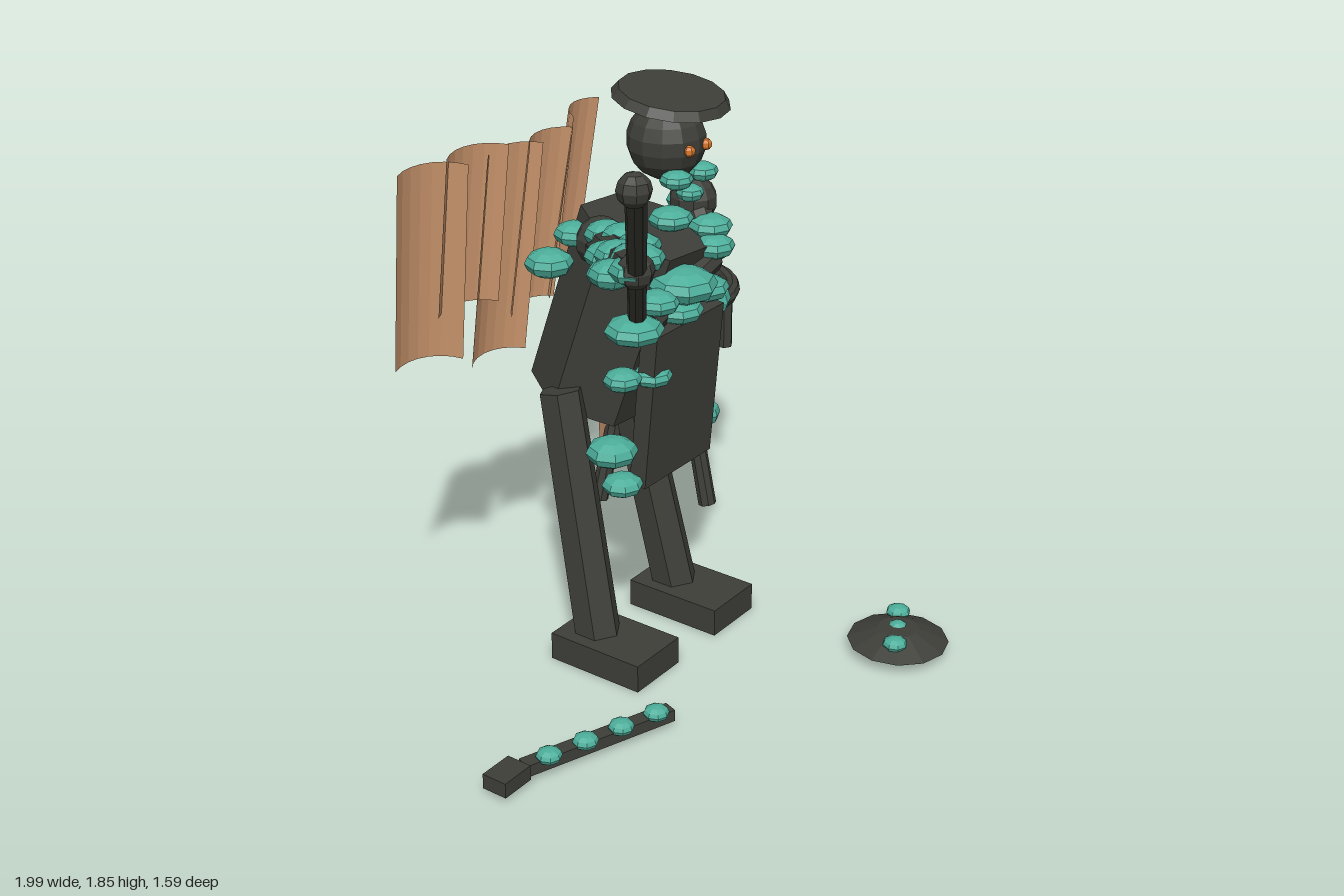
import * as THREE from 'three';

const mat = (name, color, extra = {}) => {
  const m = new THREE.MeshStandardMaterial({ color, flatShading: true, ...extra });
  m.name = name;
  return m;
};

export function createModel() {
  const model = new THREE.Group();
  model.name = 'emberKeeper';
  const iron = mat('darkIron', 0x3e3e39);
  const teal = mat('verdigris', 0x4cae9a);
  const ember = mat('ember', 0xdb7a2c);
  const hide = mat('tanHide', 0xd09a70, { side: THREE.DoubleSide });

  const add = (name, geo, material, pos = [0, 0, 0], rot = [0, 0, 0]) => {
    const m = new THREE.Mesh(geo, material);
    m.name = name;
    m.position.set(...pos);
    m.rotation.set(rot[0], rot[1], rot[2], 'YXZ');
    model.add(m);
    return m;
  };
  // Prism running between two points
  const rod = (name, a, b, rTop, rBottom = rTop, sides = 8) => {
    const from = new THREE.Vector3(...a), to = new THREE.Vector3(...b);
    const dir = to.clone().sub(from);
    const m = add(name, new THREE.CylinderGeometry(rTop, rBottom, dir.length(), sides), iron);
    m.position.copy(from).addScaledVector(dir, 0.5);
    m.quaternion.setFromUnitVectors(new THREE.Vector3(0, 1, 0), dir.normalize());
    return m;
  };
  const ball = (name, pos, r, material, w = 10, h = 7) =>
    add(name, new THREE.SphereGeometry(r, w, h), material, pos);
  const patch = (x, y, z, r, ry = r * 0.5) => {
    const m = ball('patinaPatch', [x, y, z], 1, teal, 8, 6);
    m.scale.set(r, ry, r);
    return m;
  };

  // Feet and legs
  for (const [foot, hip] of [[-0.21, -0.165], [0.175, 0.135]]) {
    add('foot', new THREE.BoxGeometry(0.2, 0.085, 0.315), iron, [foot, 0.0425, 0.007]);
    rod('leg', [foot, 0.07, -0.055], [hip, 0.8, -0.215], 0.065, 0.07, 6);
  }

  // Six-sided torso leaning forward
  const torso = rod('torso', [0.02, 0.72, -0.25], [0.065, 1.26, -0.085], 0.19, 0.185, 6);
  torso.rotateY(Math.PI / 6);
  add('apronPlate', new THREE.BoxGeometry(0.322, 0.48, 0.055), iron, [0.014, 0.8, 0.065], [0.09, 0, 0]);

  // Head, eyes and flat hat
  ball('head', [0.078, 1.525, -0.02], 0.113, iron, 12, 9);
  for (const x of [0.04, 0.12]) ball('eye', [x, 1.52, 0.085], 0.017, ember, 6, 5);
  add('hat', new THREE.CylinderGeometry(0.15, 0.168, 0.025, 14), iron, [0.08, 1.655, -0.005], [0.15, 0, 0]);

  // Shoulders and arms
  ball('shoulder', [-0.15, 1.28, -0.075], 0.072, iron);
  ball('shoulder', [0.28, 1.28, -0.07], 0.072, iron);
  rod('upperArm', [-0.15, 1.28, -0.075], [-0.33, 1.335, 0.12], 0.05);
  rod('forearm', [-0.33, 1.335, 0.12], [-0.5, 1.395, 0.3], 0.045);
  ball('hand', [-0.5, 1.395, 0.305], 0.05, iron, 8, 6);
  rod('upperArm', [0.28, 1.28, -0.07], [0.2, 1.15, 0.05], 0.045);
  rod('forearm', [0.2, 1.15, 0.05], [-0.12, 1.06, 0.06], 0.04);

  // Long stirring pole with end ball and blade
  rod('pole', [-0.96, 1.81, 0.65], [0.68, 0.33, -0.57], 0.026);
  ball('poleKnob', [-0.96, 1.81, 0.645], 0.042, iron, 8, 6);
  add('poleBlade', new THREE.BoxGeometry(0.235, 0.185, 0.035), hide, [0.695, 0.25, -0.635], [0.16, 0, 0.25]);

  // Hide cloak: overlapping curved strips [x, z, top, bottom, yaw]
  const strips = [
    [-0.5, -0.4, 1.545, 0.94, -0.45],
    [-0.375, -0.36, 1.565, 1.08, -0.25],
    [-0.24, -0.36, 1.535, 0.88, -0.15],
    [-0.1, -0.35, 1.535, 1.0, 0.05],
    [0.08, -0.38, 1.565, 1.0, 0.3],
  ];
  for (const [x, z, top, bottom, yaw] of strips) {
    const geo = new THREE.CylinderGeometry(0.135, 0.135, top - bottom, 7, 1, true, Math.PI - 0.85, 1.7);
    geo.translate(0, 0, 0.115);
    add('cloakStrip', geo, hide, [x, (top + bottom) / 2, z], [0.15, yaw, 0]);
  }

  // Patina along the raised arm
  const arm = new THREE.CatmullRomCurve3([
    new THREE.Vector3(-0.14, 1.29, -0.03),
    new THREE.Vector3(-0.33, 1.345, 0.14),
    new THREE.Vector3(-0.49, 1.385, 0.27),
  ]);
  for (let i = 0; i < 16; i++) {
    const p = arm.getPoint(i / 15), a = i * 2.4;
    patch(p.x + 0.045 * Math.cos(a), p.y + 0.02 * Math.sin(a * 1.7), p.z + 0.045 * Math.sin(a), 0.062, 0.037);
  }

  // Patina on body: [x, y, z, radius, half height]
  [
    [0.015, 1.44, 0.06, 0.048, 0.027], [0.155, 1.425, 0.05, 0.045, 0.027], [0.08, 1.385, 0.06, 0.04, 0.025],
    [0.045, 1.31, 0.02, 0.065, 0.033], [0.24, 1.23, 0.02, 0.065, 0.035], [0.32, 1.26, -0.12, 0.062, 0.037],
    [0.2, 1.19, 0.06, 0.062, 0.035], [0.01, 1.14, 0.09, 0.098, 0.05], [-0.18, 1.06, 0.06, 0.085, 0.04],
    [-0.01, 1.07, 0.09, 0.07, 0.035], [0.13, 1.09, 0.08, 0.07, 0.037], [-0.1, 1.12, 0.08, 0.065, 0.035],
    [0.23, 1.01, 0.03, 0.06, 0.047], [0.185, 0.9, -0.215, 0.05, 0.033], [0.2, 1.05, -0.245, 0.025, 0.02],
    [-0.235, 0.93, 0.06, 0.055, 0.032], [-0.11, 0.9, 0.07, 0.058, 0.03], [-0.22, 0.69, 0.01, 0.075, 0.042],
    [0.22, 0.645, 0.01, 0.055, 0.042], [-0.185, 0.575, 0.02, 0.06, 0.033],
    [-0.2, 1.2, -0.22, 0.07, 0.04], [-0.06, 1.24, -0.24, 0.06, 0.035],
  ].forEach((p) => patch(...p));

  // Fire basket: ring, hanging bars, tripod and coals
  const bx = 0.72, bz = -0.522;
  add('basketRing', new THREE.TorusGeometry(0.248, 0.024, 8, 24), iron, [bx, 0.757, bz], [Math.PI / 2, 0, 0]);
  for (let i = 0; i < 10; i++) {
    const a = (i / 10) * Math.PI * 2;
    const x = bx + 0.232 * Math.cos(a), z = bz + 0.232 * Math.sin(a);
    rod('basketBar', [x, 0.58, z], [x, 0.76, z], 0.027, 0.027, 6);
  }
  for (let i = 0; i < 3; i++) {
    const a = (i / 3) * Math.PI * 2, s = Math.sin(a), c = Math.cos(a);
    rod('tripodLeg', [bx + 0.21 * s, 0.025, bz + 0.21 * c], [bx + 0.095 * s, 0.575, bz + 0.095 * c], 0.027, 0.03);
  }
  [
    [0.715, 0.82, -0.53, 0.078], [0.58, 0.775, -0.59, 0.06], [0.745, 0.775, -0.665, 0.053],
    [0.87, 0.77, -0.64, 0.047], [0.845, 0.78, -0.48, 0.065], [0.665, 0.775, -0.39, 0.056],
    [0.565, 0.77, -0.485, 0.05],
  ].forEach(([x, y, z, r]) => ball('coal', [x, y, z], r, ember, 9, 7));
  [[0.77, 0.18, -0.66], [0.81, 0.125, -0.7], [0.865, 0.065, -0.745]].forEach((p) => patch(...p, 0.036, 0.023));

  // Dropped hammer on the ground
  add('hammerHead', new THREE.BoxGeometry(0.105, 0.045, 0.078), iron, [-0.89, 0.038, 0.162]);
  add('hammerShaft', new THREE.BoxGeometry(0.48, 0.035, 0.045), iron, [-0.605, 0.036, 0.25], [0, -0.34, 0]);
  for (let i = 0; i < 4; i++) patch(-0.77 + 0.112 * i, 0.06, 0.21 + 0.037 * i, 0.037, 0.022);

  // Low lid on the ground
  add('lid', new THREE.CylinderGeometry(0.06, 0.15, 0.04, 12), iron, [0.335, 0.055, 0.645]);
  [[0.265, 0.675, 0.037], [0.35, 0.635, 0.03], [0.43, 0.59, 0.037]].forEach(([x, z, r]) => patch(x, 0.064, z, r, 0.021));

  return model;
}
